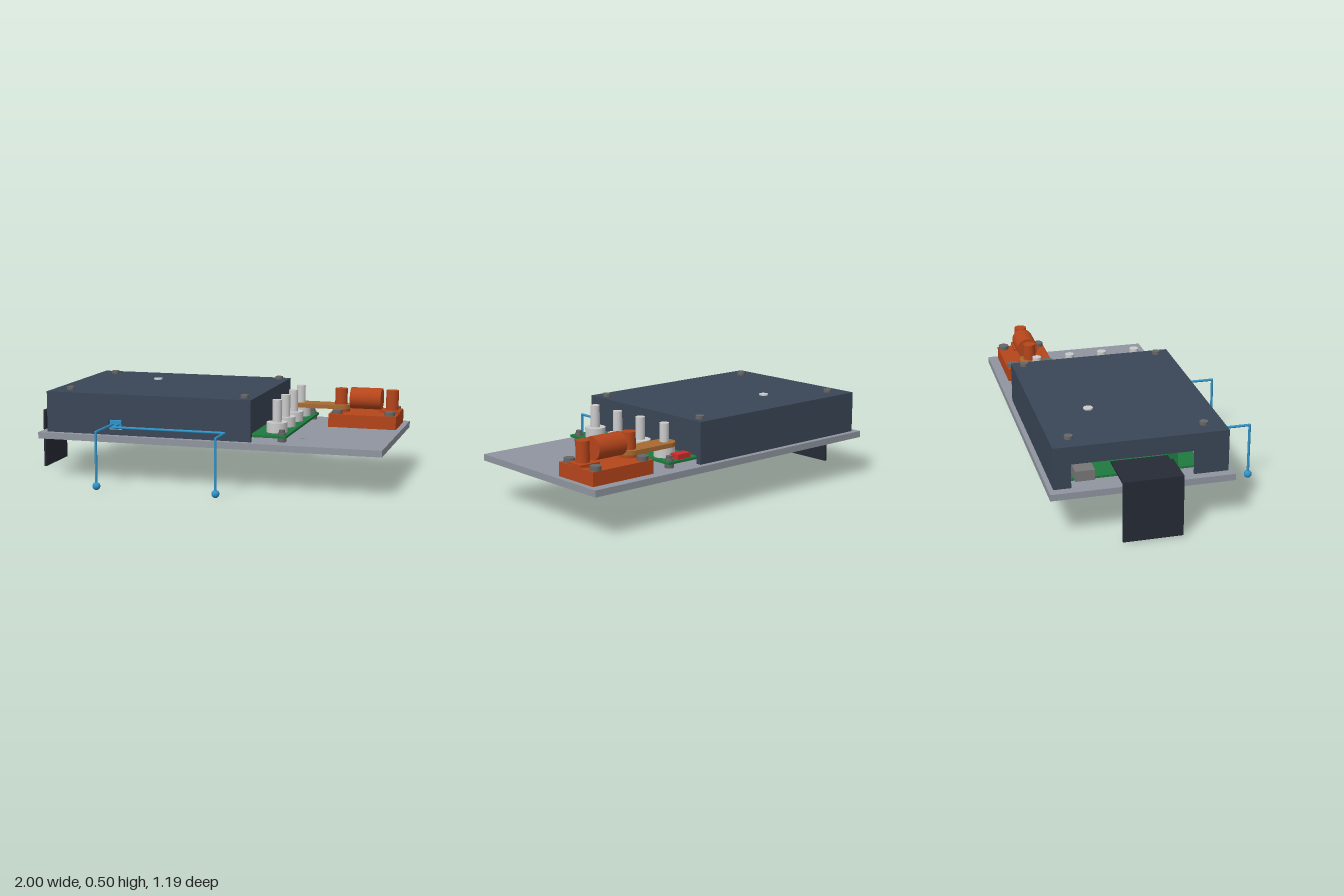
import * as THREE from 'three';

export function createModel() {
  const root = new THREE.Group();
  const mats = {};
  const mat = (c) => (mats[c] ??= new THREE.MeshStandardMaterial({ color: c }));
  const NAVY = 0x3a4656, PLATE = 0x8f959f, GREEN = 0x1f7a3f, RED = 0xb5451b, BRASS = 0xa86a32,
    SILVER = 0xcccccc, STEEL = 0x666666, BLUE = 0x2f93c8, BLACK = 0x262b36, LED = 0xcc2b2b;

  const add = (name, geo, color, parent = root) => {
    const m = new THREE.Mesh(geo, mat(color));
    m.name = name;
    parent.add(m);
    return m;
  };
  const group = (name) => {
    const g = new THREE.Group();
    g.name = name;
    root.add(g);
    return g;
  };
  // box given by its limits on each axis
  const box = (name, x0, x1, y0, y1, z0, z1, color, parent) =>
    add(name, new THREE.BoxGeometry(x1 - x0, y1 - y0, z1 - z0)
      .translate((x0 + x1) / 2, (y0 + y1) / 2, (z0 + z1) / 2), color, parent);
  // upright cylinder from y0 to y1
  const post = (name, x, z, r, y0, y1, color, parent, sides = 32) =>
    add(name, new THREE.CylinderGeometry(r, r, y1 - y0, sides)
      .translate(x, (y0 + y1) / 2, z), color, parent);
  const rect = (x0, x1, y0, y1) => new THREE.Shape([[x0, y0], [x1, y0], [x1, y1], [x0, y1]]
    .map(([x, y]) => new THREE.Vector2(x, y)));
  const circle = (x, y, r) => new THREE.Path().absarc(x, y, r, 0, Math.PI * 2, true);
  const extrude = (shape, depth) =>
    new THREE.ExtrudeGeometry(shape, { depth, bevelEnabled: false, curveSegments: 24 });
  // flat plate: shape drawn in x and z, top face at y
  const flat = (shape, depth, top) => extrude(shape, depth).rotateX(Math.PI / 2).translate(0, top, 0);

  const coverScrews = [[-0.755, -0.47], [0.247, -0.505], [-0.755, 0.225], [0.247, 0.255]];
  const boardScrews = [[0.45, -0.5], [0.45, 0.25]];
  const blockScrews = [0.635, 0.93].flatMap((x) => [-0.51, -0.3].map((z) => [x, z]));

  // Base plate with through holes
  const base = rect(-0.9, 1, -0.595, 0.355);
  for (const [x, z] of [[0.54, 0.135], [-0.65, -0.377], [-0.675, 0.164]])
    base.holes.push(circle(x, z, 0.015));
  add('basePlate', flat(base, 0.035, 0.255), PLATE);
  const under = group('undersideScrews');
  for (const [x, z] of [...coverScrews, ...boardScrews])
    post('undersideScrew', x, z, 0.025, 0.2185, 0.23, STEEL, under);
  for (const [x, z] of blockScrews)
    post('undersideScrew', x, z, 0.014, 0.2185, 0.23, STEEL, under);

  // Hollow cover, open below, with cut-outs for cables and boards
  const cover = group('cover');
  const X0 = -0.855, X1 = 0.3, Z0 = -0.57, Z1 = 0.33, Y0 = 0.257, Y1 = 0.48, T = 0.012;
  box('coverTop', X0, X1, Y1 - T, Y1, Z0, Z1, NAVY, cover);
  box('coverBack', X0, X1, Y0, Y1 - T, Z0, Z0 + T, NAVY, cover);
  const front = rect(X0, X1, Y0, Y1 - T);
  front.holes.push(rect(-0.495, -0.42, 0.285, 0.34));
  add('coverFront', extrude(front, T).translate(0, 0, Z1 - T), NAVY, cover);
  const sideWall = (name, a, b, top, x) => {
    const pts = [[Z0 + T, Y0], [a, Y0], [a, top], [b, top], [b, Y0], [Z1 - T, Y0],
      [Z1 - T, Y1 - T], [Z0 + T, Y1 - T]];
    const s = new THREE.Shape(pts.map(([z, y]) => new THREE.Vector2(z, y)));
    add(name, extrude(s, T).rotateY(-Math.PI / 2).translate(x, 0, 0), NAVY, cover);
  };
  sideWall('coverLeftWall', -0.54, 0.305, 0.3, X1);
  sideWall('coverRightWall', -0.48, 0.15, 0.385, X0 + T);
  for (const [x, z] of coverScrews) post('coverScrew', x, z, 0.022, 0.47, 0.497, STEEL, cover);
  post('coverButton', -0.425, -0.295, 0.025, 0.47, 0.488, SILVER, cover);

  // Boards and connectors inside the cover
  const inner = group('innerElectronics');
  box('innerBoard', -0.82, -0.1, 0.278, 0.29, -0.5, 0.2, GREEN, inner);
  box('pinHeader', -0.8, -0.74, 0.29, 0.375, 0.04, 0.08, GREEN, inner);
  box('powerSocket', -0.858, -0.74, 0.29, 0.345, -0.46, -0.36, 0x777777, inner);
  box('chip', -0.04, 0.3, 0.256, 0.268, -0.19, 0.07, BLACK, inner);
  box('indicator', 0.2, 0.26, 0.29, 0.303, 0.035, 0.085, LED, inner);

  // Terminal board
  const board = group('terminalBoard');
  box('board', 0.02, 0.48, 0.278, 0.291, -0.53, 0.29, GREEN, board);
  box('redSocket', 0.325, 0.41, 0.291, 0.318, -0.52, -0.465, LED, board);
  for (const [x, z] of boardScrews) {
    post('boardSpacer', x, z, 0.025, 0.255, 0.278, STEEL, board, 6);
    post('boardScrew', x, z, 0.022, 0.291, 0.303, STEEL, board);
    post('boardNut', x, z, 0.016, 0.303, 0.318, STEEL, board, 6);
  }
  for (const z of [-0.405, -0.214, -0.027, 0.166]) {
    post('terminalCollar', 0.402, z, 0.055, 0.291, 0.345, SILVER, board);
    post('terminalPin', 0.402, z, 0.025, 0.345, 0.465, SILVER, board);
  }

  // Bus bar with rounded ends
  const bar = new THREE.Shape();
  bar.absarc(0.636, -0.405, 0.057, -Math.PI / 2, Math.PI / 2, false);
  bar.absarc(0.402, -0.405, 0.057, Math.PI / 2, Math.PI * 1.5, false);
  add('busBar', flat(bar, 0.023, 0.367), BRASS);

  // Fuse holder: block, studs, fuse body and end tabs
  const fuse = group('fuseHolder');
  box('fuseBlock', 0.59, 0.97, 0.255, 0.328, -0.54, -0.267, RED, fuse);
  for (const x of [0.636, 0.927]) {
    post('studBase', x, -0.405, 0.05, 0.328, 0.343, RED, fuse);
    post('stud', x, -0.405, 0.035, 0.343, 0.457, RED, fuse);
  }
  add('fuseBody', new THREE.CylinderGeometry(0.06, 0.06, 0.175, 40).rotateZ(Math.PI / 2)
    .translate(0.782, 0.405, -0.405), RED, fuse);
  box('fuseTab', 0.86, 0.98, 0.335, 0.347, -0.457, -0.353, RED, fuse);
  for (const [x, z] of blockScrews) post('blockScrew', x, z, 0.029, 0.328, 0.35, STEEL, fuse);

  // Ribbon cable folding down beyond the base
  const ribbon = group('ribbonCable');
  box('ribbonTop', -0.99, -0.75, 0.316, 0.328, -0.255, 0.055, BLACK, ribbon);
  box('ribbonDrop', -1, -0.988, 0, 0.328, -0.255, 0.055, BLACK, ribbon);

  // Two sensor leads with mitred corners and ball tips
  const leads = group('sensorLeads');
  box('leadPlug', -0.49, -0.425, 0.29, 0.335, 0.25, 0.324, BLUE, leads);
  const R = 0.007, up = new THREE.Vector3(0, 1, 0);
  const lead = (coords) => {
    const pts = coords.map((p) => new THREE.Vector3(...p));
    pts.forEach((p, i) => {
      const q = pts[i + 1];
      if (!q) return;
      const d = q.clone().sub(p);
      const seg = add('leadWire', new THREE.CylinderGeometry(R, R, d.length(), 12), BLUE, leads);
      seg.position.copy(p).add(q).multiplyScalar(0.5);
      seg.quaternion.setFromUnitVectors(up, d.normalize());
      if (i) add('leadCorner', new THREE.SphereGeometry(R, 12, 8), BLUE, leads).position.copy(p);
    });
    add('sensorTip', new THREE.SphereGeometry(0.021, 24, 16), BLUE, leads).position.copy(pts.at(-1));
  };
  lead([[-0.475, 0.314, 0.3], [-0.475, 0.314, 0.573], [-0.475, 0.025, 0.573]]);
  lead([[-0.442, 0.314, 0.3], [-0.442, 0.314, 0.412], [0.18, 0.314, 0.412],
    [0.18, 0.314, 0.573], [0.18, 0.025, 0.573]]);

  return root;
}
